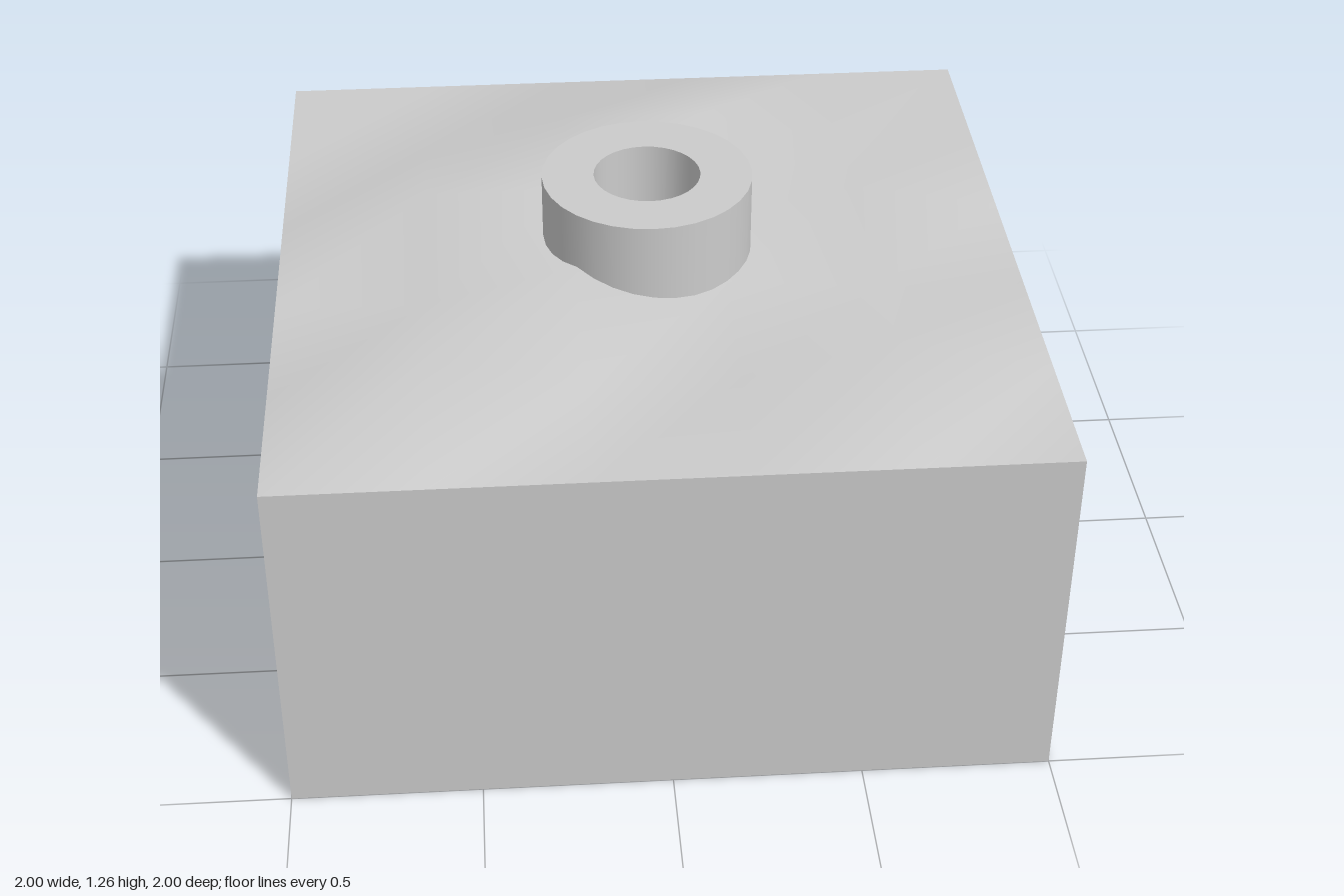
import * as THREE from 'three';

// Rise of the inner ground points, one row per step in z (back to front)
const RISE = [
  [0, 0.1, 0.1, 0],
  [0.1, 0.1, 0, 0.077],
  [0, 0.1, 0.037, 0],
  [0.1, 0, 0, 0.1],
];
const SEGMENTS = 5;

// Square block whose top face undulates; its rim stays level and sharp
function groundGeometry() {
  const geo = new THREE.BoxGeometry(2, 1, 2, SEGMENTS, 1, SEGMENTS);
  geo.translate(0, 0.5, 0);
  const pos = geo.attributes.position;
  const normal = geo.attributes.normal;
  const step = (v) => Math.round(((v + 1) * SEGMENTS) / 2) - 1;
  for (let i = 0; i < pos.count; i++) {
    if (normal.getY(i) < 0.5) continue;
    const rise = RISE[step(pos.getZ(i))]?.[step(pos.getX(i))] ?? 0;
    pos.setY(i, 1 + rise);
  }
  geo.computeVertexNormals();
  return geo;
}

// Upright ring: each wall and rim is its own strip, so edges stay sharp
function addRing(group, outer, inner, bottom, top, material) {
  const strips = {
    ringOuterWall: [[outer, bottom], [outer, top]],
    ringTop: [[outer, top], [inner, top]],
    ringInnerWall: [[inner, top], [inner, bottom]],
    ringUnderside: [[inner, bottom], [outer, bottom]],
  };
  for (const [name, ends] of Object.entries(strips)) {
    const profile = ends.map(([r, y]) => new THREE.Vector2(r, y));
    const mesh = new THREE.Mesh(new THREE.LatheGeometry(profile, 32), material);
    mesh.name = name;
    group.add(mesh);
  }
}

export function createModel() {
  const model = new THREE.Group();
  model.name = 'groundBlockWithRing';
  const grey = new THREE.MeshStandardMaterial({ color: 0xcccccc });

  const ground = new THREE.Mesh(groundGeometry(), grey);
  ground.name = 'groundBlock';
  model.add(ground);

  // Ring wall sunk into the uneven ground
  const ring = new THREE.Group();
  ring.name = 'ringWall';
  addRing(ring, 0.282, 0.143, 0.99, 1.26, grey);
  model.add(ring);

  return model;
}
